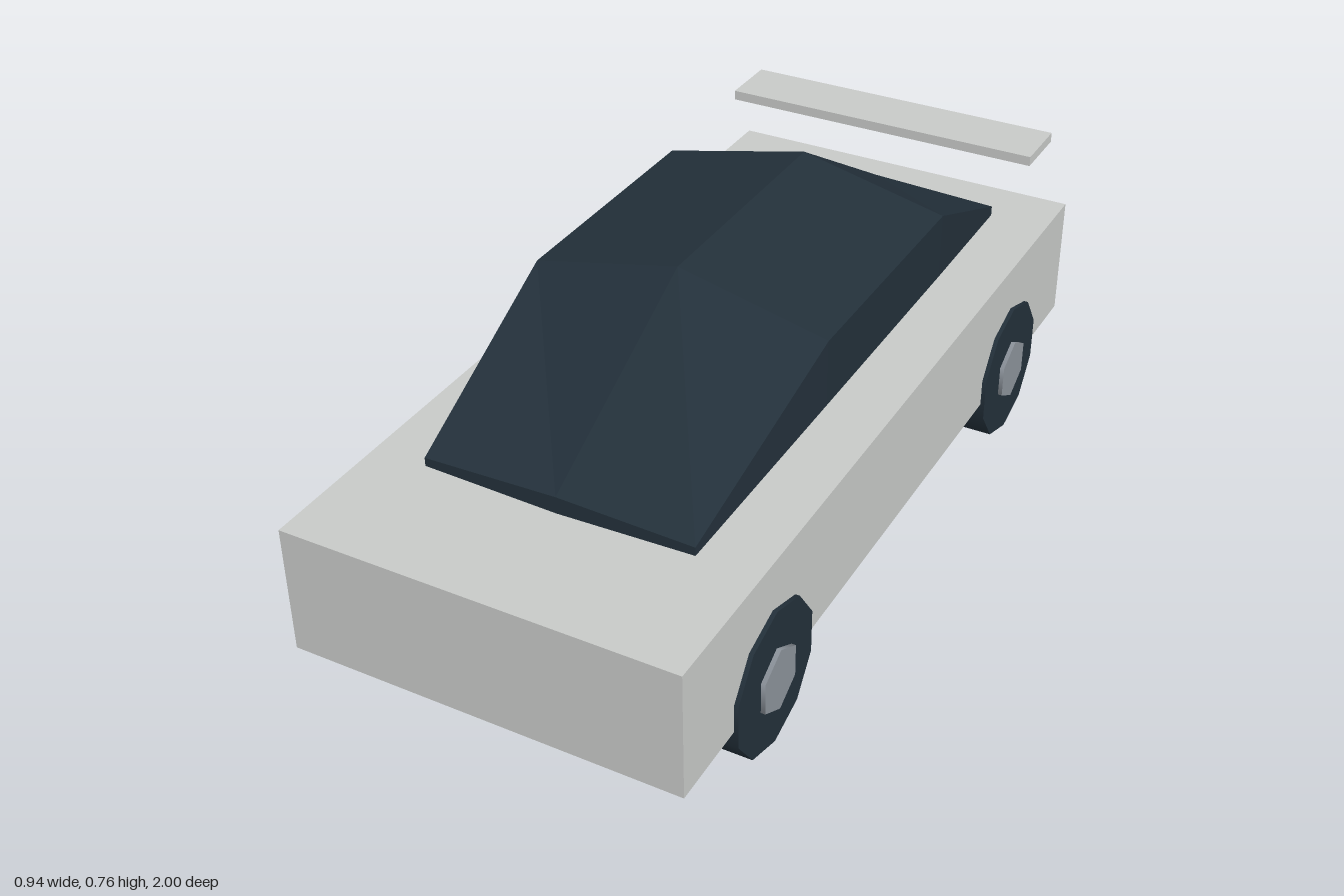
import * as THREE from 'three';

const mat = (name, color) => {
  const m = new THREE.MeshStandardMaterial({ color });
  m.name = name;
  return m;
};

function add(parent, name, geometry, material, x = 0, y = 0, z = 0) {
  const mesh = new THREE.Mesh(geometry, material);
  mesh.name = name;
  mesh.position.set(x, y, z);
  parent.add(mesh);
  return mesh;
}

// Faceted hull lofted through hexagonal sections, listed from back to front
function hexLoft(sections) {
  const rings = sections.map(({ z, y, halfWidth, radius }) =>
    Array.from({ length: 6 }, (_, k) => {
      const a = (k * Math.PI) / 3;
      return [(halfWidth * Math.sin(a)) / Math.sin(Math.PI / 3), y + radius * Math.cos(a), z];
    }));
  const pos = [];
  const tri = (...corners) => corners.forEach((c) => pos.push(...c));
  const last = rings.length - 1;
  for (let k = 0; k < 6; k++) {
    const n = (k + 1) % 6;
    for (let i = 0; i < last; i++) {
      const [a, b, c, d] = [rings[i][k], rings[i][n], rings[i + 1][n], rings[i + 1][k]];
      tri(a, d, c);
      tri(a, c, b);
    }
    // End caps
    tri([0, sections[0].y, sections[0].z], rings[0][k], rings[0][n]);
    tri([0, sections[last].y, sections[last].z], rings[last][n], rings[last][k]);
  }
  const g = new THREE.BufferGeometry();
  g.setAttribute('position', new THREE.Float32BufferAttribute(pos, 3));
  g.computeVertexNormals();
  return g;
}

// Cylinder lying along x with a corner pointing straight up
const disc = (radius, width, sides) =>
  new THREE.CylinderGeometry(radius, radius, width, sides)
    .rotateY(Math.PI / 2)
    .rotateZ(Math.PI / 2);

export function createModel() {
  const car = new THREE.Group();
  car.name = 'car';
  const paint = mat('silver paint', 0xc8cac8);
  const dark = mat('dark glass and rubber', 0x23303a);
  const metal = mat('hub metal', 0x8c939b);

  // Body and rear wing
  add(car, 'body', new THREE.BoxGeometry(0.9, 0.3, 2), paint, 0, 0.305, 0);
  add(car, 'rearWing', new THREE.BoxGeometry(0.806, 0.024, 0.15), paint, 0, 0.642, -0.9);

  // Cabin
  add(car, 'cabin', hexLoft([
    { z: -0.835, y: 0.48, halfWidth: 0.313, radius: 0.024 },
    { z: -0.4, y: 0.604, halfWidth: 0.35, radius: 0.158 },
    { z: 0.2, y: 0.604, halfWidth: 0.35, radius: 0.158 },
    { z: 0.7, y: 0.475, halfWidth: 0.313, radius: 0.02 },
  ]), dark);

  // Four wheels, each a tyre with a hub poking out on both sides
  const tyreGeo = disc(0.17, 0.12, 10);
  const hubGeo = disc(0.077, 0.14, 6);
  for (const [end, z] of [['front', 0.64], ['rear', -0.64]]) {
    for (const [side, x] of [['Left', 0.4], ['Right', -0.4]]) {
      const wheel = new THREE.Group();
      wheel.name = `${end}${side}Wheel`;
      wheel.position.set(x, 0.17, z);
      add(wheel, 'tyre', tyreGeo, dark);
      add(wheel, 'hub', hubGeo, metal);
      car.add(wheel);
    }
  }
  return car;
}
